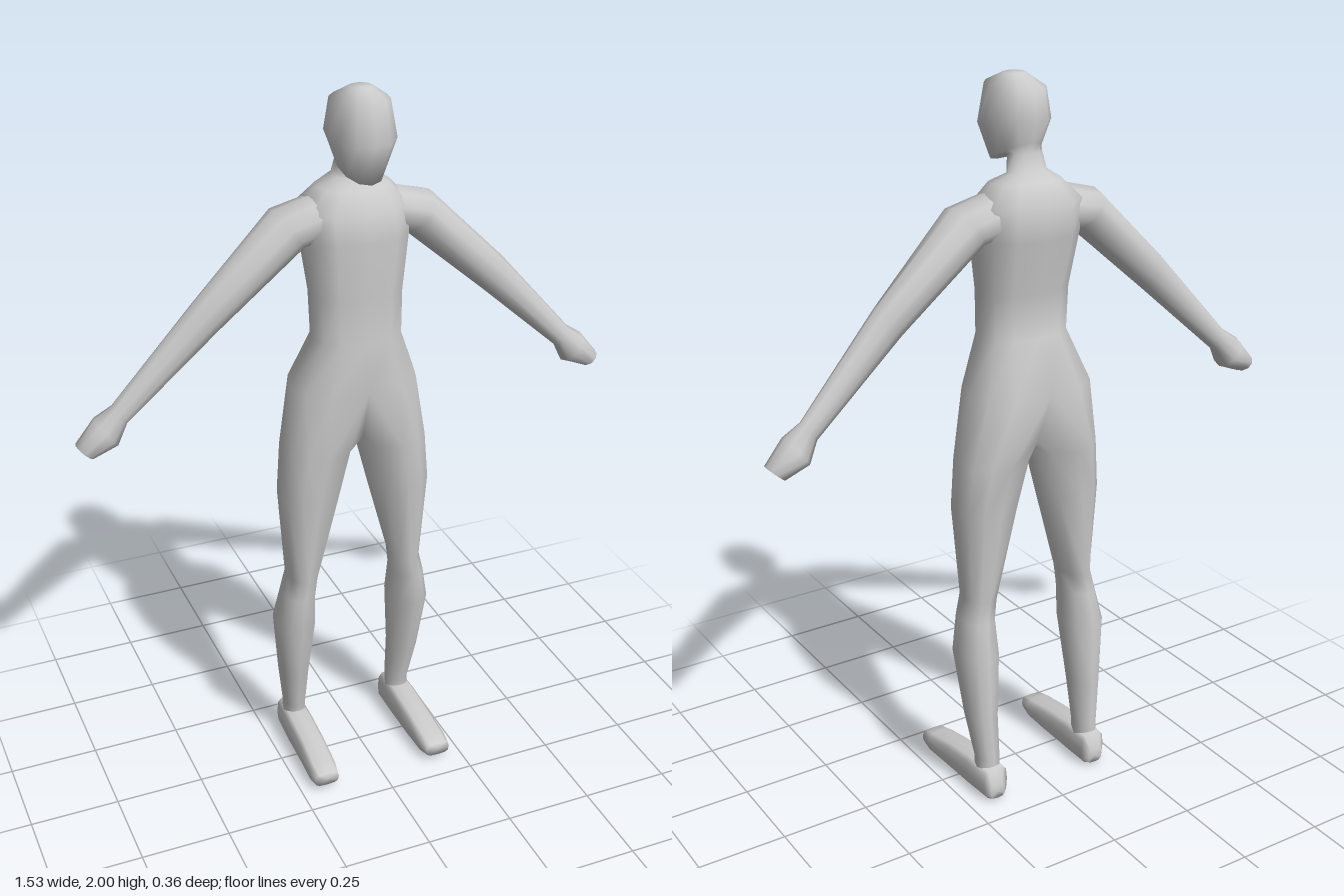
import * as THREE from 'three';
import { mergeGeometries, mergeVertices } from 'three/addons/utils/BufferGeometryUtils.js';

const material = new THREE.MeshStandardMaterial({ color: 0xcccccc });

// Skin a list of rings; caps close the first and last ring; side -1 mirrors in x.
function loft(rings, { side = 1, capStart = false, capEnd = false } = {}) {
  const n = rings[0].length, pos = [], idx = [];
  rings.flat().forEach(([x, y, z]) => pos.push(x * side, y, z));
  const tri = (a, b, c) => (side > 0 ? idx.push(a, b, c) : idx.push(a, c, b));
  for (let i = 0; i < rings.length - 1; i++) {
    for (let j = 0; j < n; j++) {
      const k = (j + 1) % n, lo = i * n, hi = lo + n;
      tri(lo + j, lo + k, hi + k);
      tri(lo + j, hi + k, hi + j);
    }
  }
  const cap = (r, flip) => {
    const c = pos.length / 3;
    const mid = [0, 1, 2].map((m) => rings[r].reduce((s, p) => s + p[m], 0) / n);
    pos.push(mid[0] * side, mid[1], mid[2]);
    for (let j = 0; j < n; j++) {
      const a = r * n + j, b = r * n + ((j + 1) % n);
      flip ? tri(c, b, a) : tri(c, a, b);
    }
  };
  if (capStart) cap(0, true);
  if (capEnd) cap(rings.length - 1, false);
  const g = new THREE.BufferGeometry();
  g.setAttribute('position', new THREE.Float32BufferAttribute(pos, 3));
  g.setIndex(idx);
  return g;
}

const soft = (v, e) => (Math.abs(v) < 1e-6 ? 0 : Math.sign(v) * Math.abs(v) ** e);
const DEG = Math.PI / 180;

// Horizontal ring that starts at the front and runs round by the model's left.
function levelRing(angles, cx, rx, yFront, yBack, zFront, zBack, e = 1) {
  return angles.map((d) => {
    const s = soft(Math.sin(d * DEG), e), c = soft(Math.cos(d * DEG), e);
    const t = (c + 1) / 2;
    return [cx + rx * s, yBack + (yFront - yBack) * t, zBack + (zFront - zBack) * t];
  });
}

const around = Array.from({ length: 12 }, (_, i) => i * 30);
const legAngles = [0, 30, 60, 90, 120, 150, 180, 225, 270, 315];

// Torso, neck and head: y front, y back, half width, z front, z back, squareness
const trunkRings = [
  [1.19, 1.19, 0.18, 0.07, -0.175, 0.85],
  [1.33, 1.33, 0.125, 0.062, -0.115, 0.85],
  [1.45, 1.45, 0.128, 0.055, -0.115, 0.8],
  [1.61, 1.6, 0.145, 0.07, -0.153, 0.8],
  [1.68, 1.69, 0.15, 0.055, -0.155, 0.85],
  [1.735, 1.74, 0.1, 0.025, -0.115, 0.9],
  [1.755, 1.77, 0.056, -0.015, -0.09, 1],
  [1.81, 1.81, 0.047, -0.005, -0.08, 1],
  [1.767, 1.835, 0.06, 0.08, -0.08, 1],
  [1.87, 1.89, 0.09, 0.105, -0.093, 0.95],
  [1.975, 1.965, 0.072, 0.09, -0.086, 0.9],
  [2.0, 2.0, 0.03, 0.035, -0.02, 1],
].map(([yf, yb, rx, zf, zb, e]) => levelRing(around, 0, rx, yf, yb, zf, zb, e));

// Leg, from ankle up: y, inner x, outer x, z front, z back
const legRings = [
  [0.08, 0.133, 0.2, -0.07, -0.15],
  [0.12, 0.133, 0.2, -0.07, -0.15],
  [0.25, 0.13, 0.217, -0.035, -0.145],
  [0.44, 0.115, 0.235, 0.005, -0.142],
  [0.54, 0.12, 0.215, 0.012, -0.122],
  [0.6, 0.113, 0.2, 0.012, -0.118],
  [0.86, 0.043, 0.22, 0.04, -0.137],
  [1.0, 0.008, 0.208, 0.052, -0.152],
].map(([y, xi, xo, zf, zb]) => levelRing(legAngles, (xi + xo) / 2, (xo - xi) / 2, y, y, zf, zb, 0.95));
// The top of each leg joins half the hip ring and a shared crotch line.
legRings.push([...trunkRings[0].slice(0, 7), [0, 1.04, -0.11], [0, 1.01, -0.045], [0, 1.04, 0.025]]);

// Arm and hand: top x, top y, bottom x, bottom y, z front, z back
const armRings = [
  [0.05, 1.735, 0.05, 1.6, 0.025, -0.115],
  [0.217, 1.69, 0.143, 1.59, 0.035, -0.125],
  [0.44, 1.47, 0.375, 1.39, -0.005, -0.09],
  [0.662, 1.222, 0.625, 1.168, -0.035, -0.087],
  [0.71, 1.19, 0.653, 1.113, -0.015, -0.112],
  [0.763, 1.125, 0.72, 1.087, -0.027, -0.1],
].map(([xt, yt, xb, yb, zf, zb]) => Array.from({ length: 10 }, (_, i) => {
  const a = i * 36 * DEG + Math.PI / 2, t = (Math.sin(a) + 1) / 2, u = (1 - Math.cos(a)) / 2;
  return [xb + (xt - xb) * t, yb + (yt - yb) * t, zb + (zf - zb) * u];
}));

// Foot, from heel to toe: z, inner x, outer x, y low, y high
const footRings = [
  [-0.17, 0.145, 0.19, 0.008, 0.05],
  [-0.155, 0.128, 0.205, 0.002, 0.1],
  [-0.065, 0.128, 0.21, 0, 0.1],
  [0.05, 0.13, 0.212, 0, 0.085],
  [0.14, 0.133, 0.216, 0.004, 0.066],
  [0.18, 0.14, 0.212, 0.015, 0.055],
].map(([z, xi, xo, y0, y1]) => Array.from({ length: 12 }, (_, i) => {
  const a = i * 30 * DEG;
  return [
    (xi + xo) / 2 + ((xo - xi) / 2) * soft(Math.cos(a), 0.6),
    (y0 + y1) / 2 + ((y1 - y0) / 2) * soft(Math.sin(a), 0.6), z];
}));

export function createModel() {
  const group = new THREE.Group();
  const add = (name, geometry) => {
    geometry.computeVertexNormals();
    const mesh = new THREE.Mesh(geometry, material);
    mesh.name = name;
    group.add(mesh);
  };

  // One welded skin for head, trunk and both legs
  add('body', mergeVertices(mergeGeometries([
    loft(trunkRings, { capEnd: true }),
    loft(legRings, { side: 1 }),
    loft(legRings, { side: -1 }),
  ])));

  for (const [label, side] of [['left', 1], ['right', -1]]) {
    add(`${label}Arm`, loft(armRings, { side, capEnd: true }));
    add(`${label}Foot`, loft(footRings, { side, capStart: true, capEnd: true }));
  }
  return group;
}
